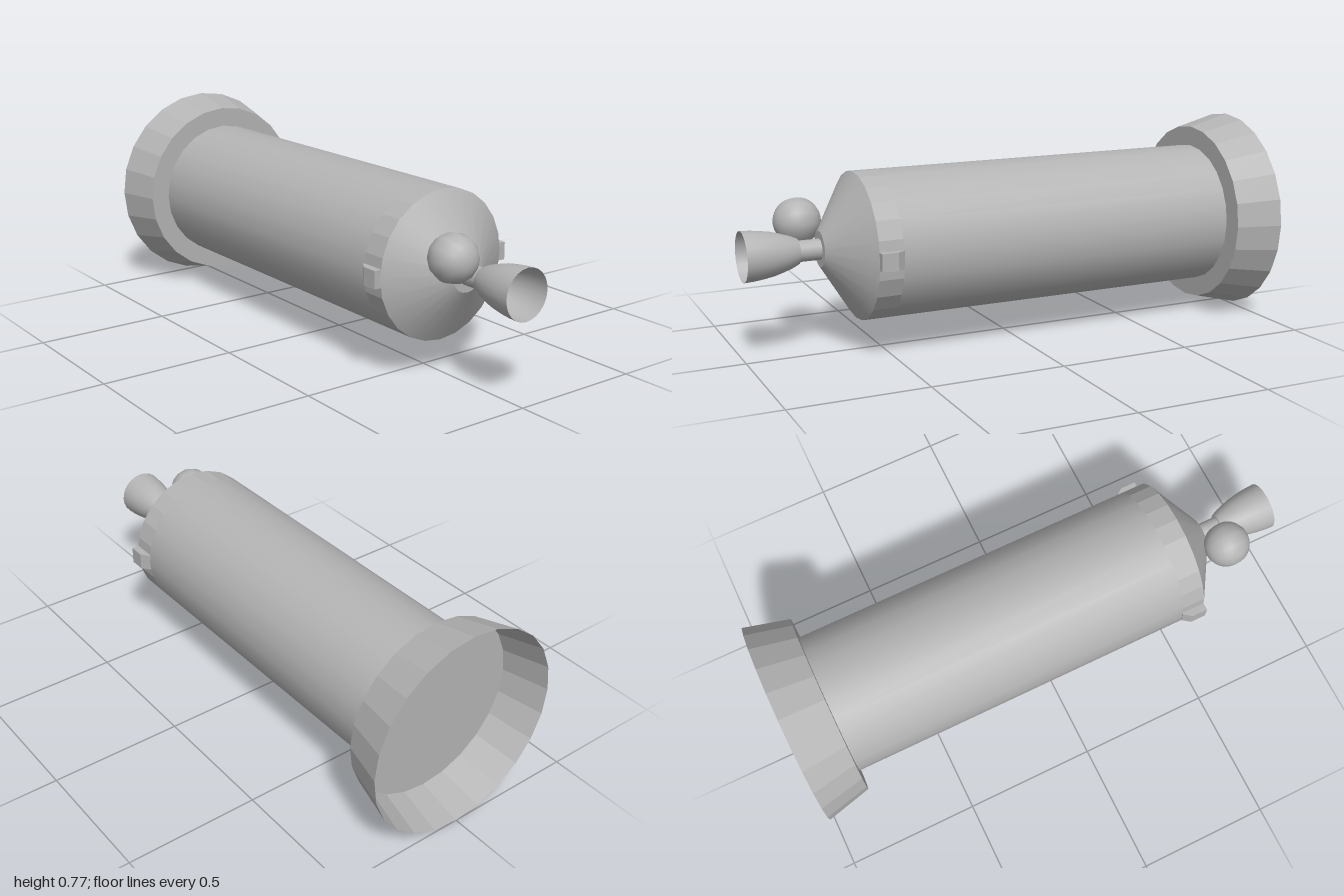
import * as THREE from 'three';

const AXIS_Y = 0.39;
const SIDES = 24;

export function createModel() {
  const model = new THREE.Group();
  const grey = new THREE.MeshStandardMaterial({ color: 0xb4b4b4, side: THREE.DoubleSide });
  grey.name = 'plain grey';
  const greyFlat = grey.clone();
  greyFlat.flatShading = true;
  greyFlat.name = 'faceted grey';

  function add(name, geometry, material = grey) {
    const mesh = new THREE.Mesh(geometry, material);
    mesh.name = name;
    model.add(mesh);
    return mesh;
  }

  // Surface of revolution about the long axis; each point is [radius, z]
  function turned(name, profile, material) {
    const points = profile.map(([r, z]) => new THREE.Vector2(r, z));
    const geometry = new THREE.LatheGeometry(points, SIDES).rotateX(Math.PI / 2);
    return add(name, geometry.translate(0, AXIS_Y, 0), material);
  }

  // Main tank, with a faceted band at its front end
  turned('tankBody', [[0.27, -0.83], [0.27, 0.5]]);
  turned('tankFrontBand', [[0.27, 0.5], [0.27, 0.59]], greyFlat);
  turned('frontCone', [[0.27, 0.59], [0.065, 0.72]]);
  turned('coneCap', [[0.065, 0.72], [0, 0.72]]);

  // Flared skirt, open at the rear and closed by a bulkhead
  turned('rearSkirt', [[0.387, -1], [0.345, -0.83]], greyFlat);
  turned('skirtBulkhead', [[0.345, -0.83], [0, -0.83]]);

  // Engine neck and hollow bell
  turned('engineNeck', [[0.038, 0.72], [0.038, 0.8]]);
  turned('engineThroat', [[0.046, 0.8], [0, 0.8]]);
  turned('engineBell', [[0.046, 0.8], [0.058, 0.825], [0.068, 0.855],
    [0.078, 0.89], [0.085, 0.93], [0.089, 0.965], [0.091, 1]]);

  // Small spherical tank beside the neck
  const ball = new THREE.SphereGeometry(0.086, 12, 16).rotateX(Math.PI / 2);
  add('sphereTank', ball.translate(-0.109, 0.476, 0.768));

  // Chamfered lugs on both sides of the front band
  for (const side of [1, -1]) {
    const outline = new THREE.Shape([[0.25, 0.5], [0.272, 0.5], [0.294, 0.53],
      [0.294, 0.59], [0.25, 0.59]].map(([x, z]) => new THREE.Vector2(side * x, z)));
    const lug = new THREE.ExtrudeGeometry(outline, { depth: 0.064, bevelEnabled: false });
    lug.rotateX(Math.PI / 2).translate(0, AXIS_Y + 0.032, 0);
    add(side > 0 ? 'leftLug' : 'rightLug', lug, greyFlat);
  }

  return model;
}
